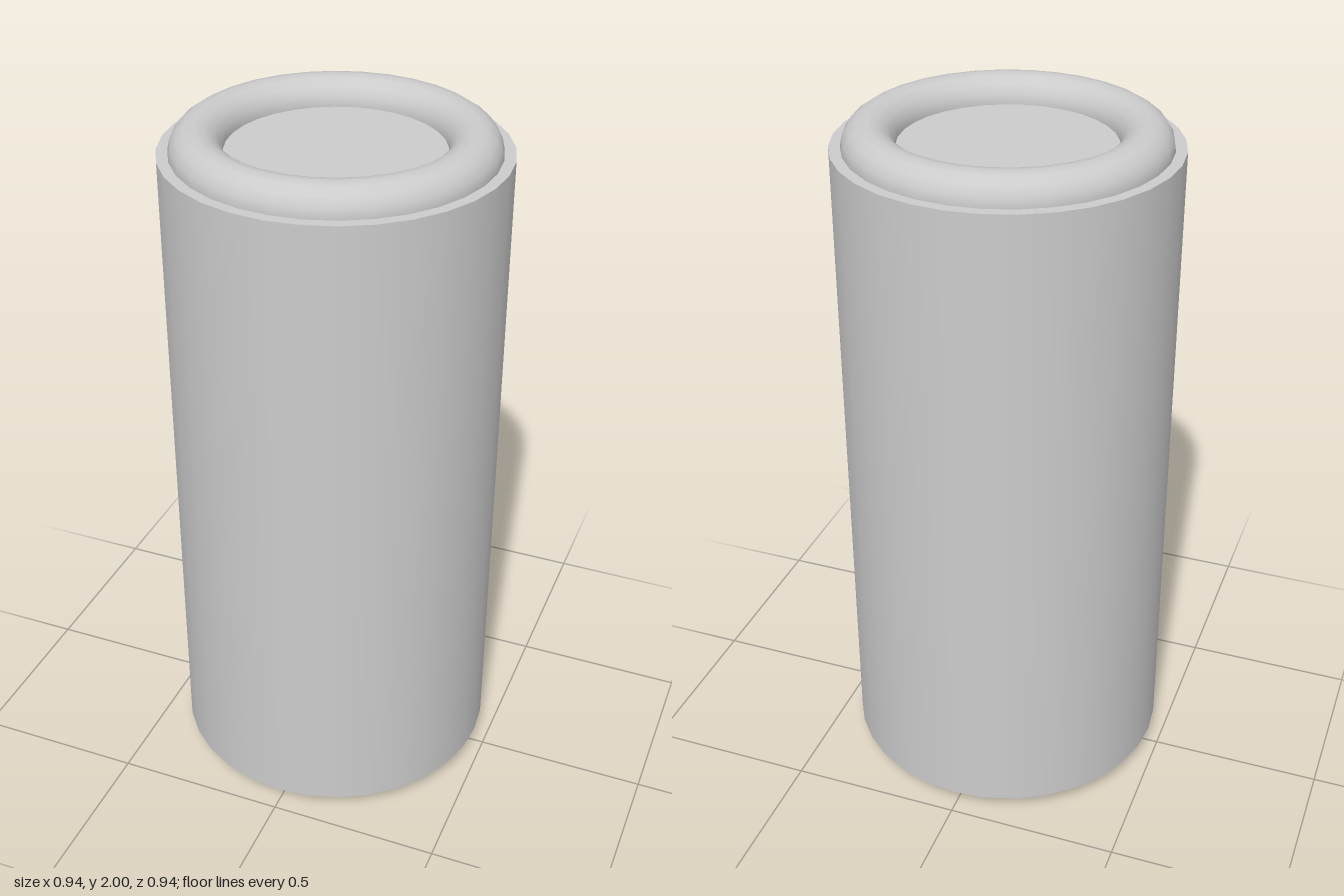
import * as THREE from 'three';

export function createModel() {
  const group = new THREE.Group();
  const material = new THREE.MeshStandardMaterial({ color: 0xcccccc });
  const bottomY = 0.047, topY = 1.928;

  const add = (name, geometry, y) => {
    const mesh = new THREE.Mesh(geometry, material);
    mesh.name = name;
    mesh.position.y = y;
    group.add(mesh);
  };

  // Rounded rim, lying flat and half sunk into an end of the body
  const rim = (radius, tube) =>
    new THREE.TorusGeometry(radius, tube, 16, 32).rotateX(-Math.PI / 2);

  // Cylindrical body with flat caps
  add('body', new THREE.CylinderGeometry(0.47, 0.47, topY - bottomY, 32), (topY + bottomY) / 2);

  // Thick rim on the top, thinner rim under the base
  add('topRim', rim(0.367, 0.072), topY);
  add('bottomRim', rim(0.377, 0.047), bottomY);

  return group;
}
